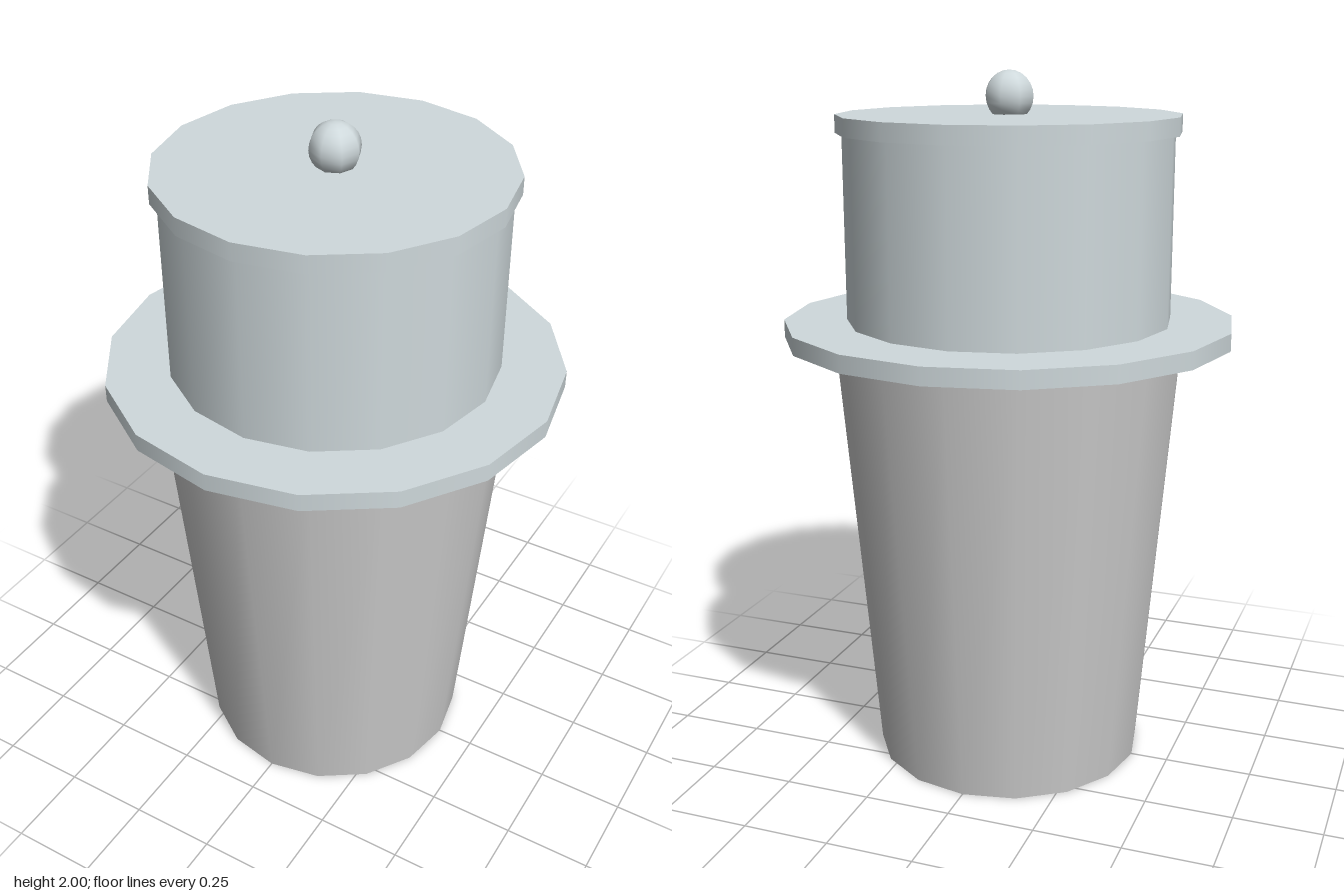
import * as THREE from 'three';

const SIDES = 16;

export function createModel() {
  const model = new THREE.Group();
  const cupMaterial = new THREE.MeshStandardMaterial({ color: 0xcccccc });
  const lidMaterial = new THREE.MeshStandardMaterial({ color: 0xcfd9dc });

  // Round part spanning y0 to y1, tapering from bottom to top radius
  function addRound(name, bottomRadius, topRadius, y0, y1, material) {
    const geometry = new THREE.CylinderGeometry(topRadius, bottomRadius, y1 - y0, SIDES);
    const mesh = new THREE.Mesh(geometry, material);
    mesh.name = name;
    mesh.position.y = (y0 + y1) / 2;
    model.add(mesh);
  }

  // Tapered cup, with the lid floating just above it
  addRound('cup', 0.392, 0.498, 0, 1.247, cupMaterial);
  addRound('brim', 0.64, 0.64, 1.262, 1.312, lidMaterial);
  addRound('drum', 0.462, 0.462, 1.312, 1.832, lidMaterial);
  addRound('lidPlate', 0.48, 0.48, 1.832, 1.882, lidMaterial);

  // Round knob on top, sunk slightly into the plate
  const knob = new THREE.Mesh(new THREE.SphereGeometry(0.07, 8, 12), lidMaterial);
  knob.name = 'knob';
  knob.position.y = 1.93;
  model.add(knob);

  return model;
}
